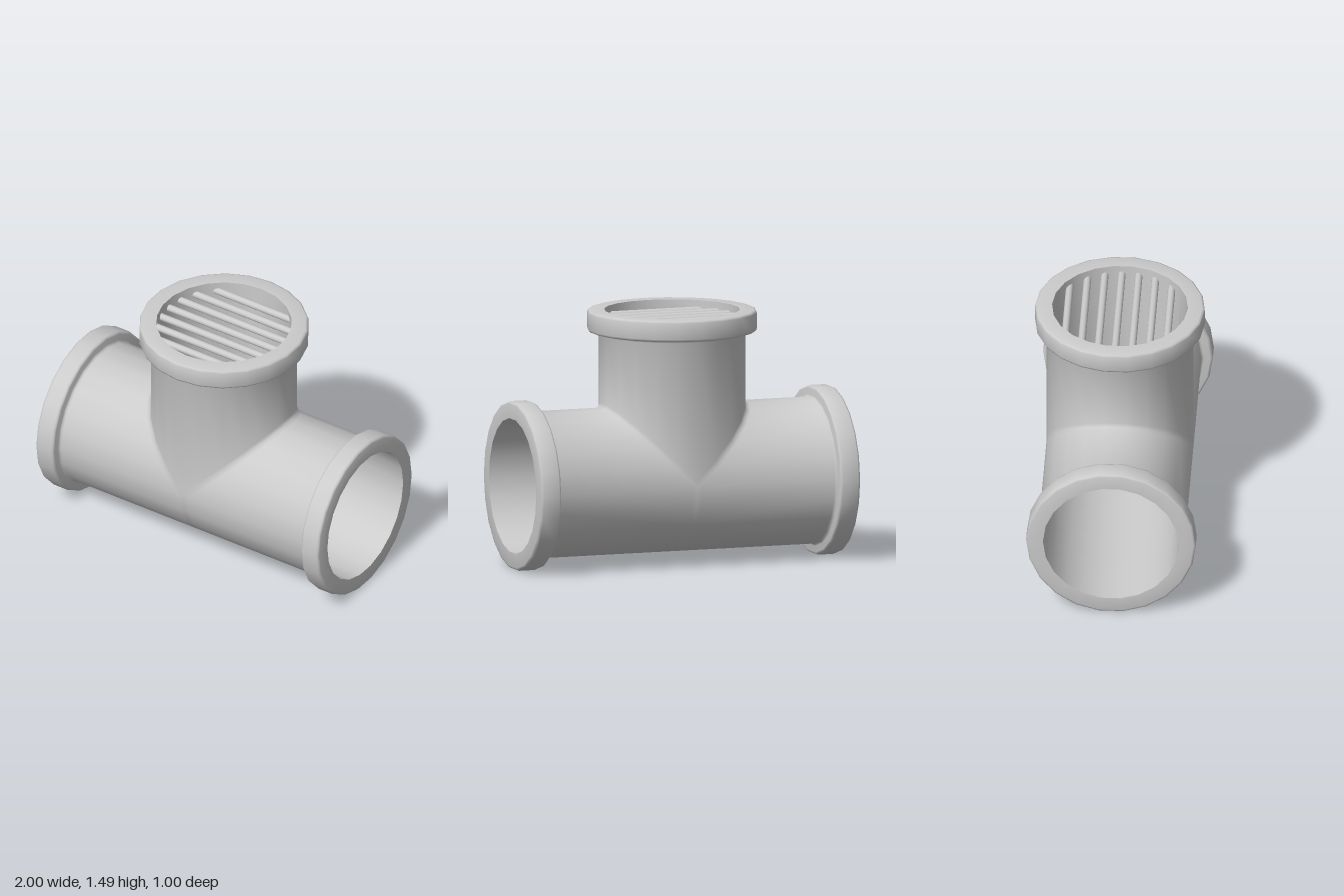
import * as THREE from 'three';
import { toCreasedNormals } from 'three/addons/utils/BufferGeometryUtils.js';

const SIDES = 22, OUTER = 0.433, BORE = 0.4, AXIS_Y = 0.495;

// Wall section of one arm as [distance along arm, radius]:
// outer wall, fillet, rounded collar, end face, end of bore
const SECTION = [
  [0.86, OUTER], [0.871, 0.438], [0.875, 0.449],
  [0.875, 0.485], [0.879, 0.496], [0.89, 0.5],
  [0.985, 0.5], [0.996, 0.496], [1, 0.485], [1, BORE],
];

// u, v lie across the arm and t runs along it; miter(u) is where the arm
// meets its neighbours on the 45 degree seam.
function addArm(out, miter, place, flip) {
  const rings = [];
  const ring = (fn) => rings.push(Array.from({ length: SIDES }, (_, i) => {
    const a = Math.PI / 2 + (i * 2 * Math.PI) / SIDES;
    return place(...fn(Math.cos(a), Math.sin(a)));
  }));
  // soft fillet on the outer seam
  ring((c, s) => {
    const u = OUTER * c, m = miter(u), e = 0.0085 * m / OUTER;
    return [u + Math.sign(u) * e, OUTER * s, m + e];
  });
  ring((c, s) => [OUTER * c, OUTER * s, miter(OUTER * c) + 0.03]);
  for (const [t, r] of SECTION) ring((c, s) => [r * c, r * s, t]);
  // bore back to the inner seam
  ring((c, s) => [BORE * c, BORE * s, miter(BORE * c)]);

  for (let k = 0; k < rings.length - 1; k++) {
    for (let i = 0; i < SIDES; i++) {
      const j = (i + 1) % SIDES;
      const a = rings[k][i], b = rings[k][j], c = rings[k + 1][j], d = rings[k + 1][i];
      const tris = flip ? [a, c, b, a, d, c] : [a, b, c, a, c, d];
      for (const p of tris) out.push(...p);
    }
  }
}

export function createModel() {
  const group = new THREE.Group();
  const material = new THREE.MeshStandardMaterial({ color: 0xcccccc });

  // Hollow tee: two run arms and the upright branch, joined along the seams
  const points = [];
  const runMiter = (u) => Math.max(0, u);
  addArm(points, runMiter, (u, v, t) => [t, AXIS_Y + u, v], false);
  addArm(points, runMiter, (u, v, t) => [-t, AXIS_Y + u, v], true);
  addArm(points, Math.abs, (u, v, t) => [u, AXIS_Y + t, v], true);
  const geometry = new THREE.BufferGeometry();
  geometry.setAttribute('position', new THREE.Float32BufferAttribute(points, 3));
  const body = new THREE.Mesh(toCreasedNormals(geometry, 0.9), material);
  body.name = 'teePipe';
  group.add(body);

  // Grate of round bars just inside the branch mouth
  const grate = new THREE.Group();
  grate.name = 'grate';
  for (let i = 0; i < 7; i++) {
    const z = -0.31 + i * 0.1;
    const length = 2 * Math.sqrt(0.415 ** 2 - z * z);
    const bar = new THREE.Mesh(new THREE.CylinderGeometry(0.022, 0.022, length, 12), material);
    bar.name = 'grateBar';
    bar.rotation.z = Math.PI / 2;
    bar.position.set(0, 1.435, z);
    grate.add(bar);
  }
  group.add(grate);
  return group;
}
